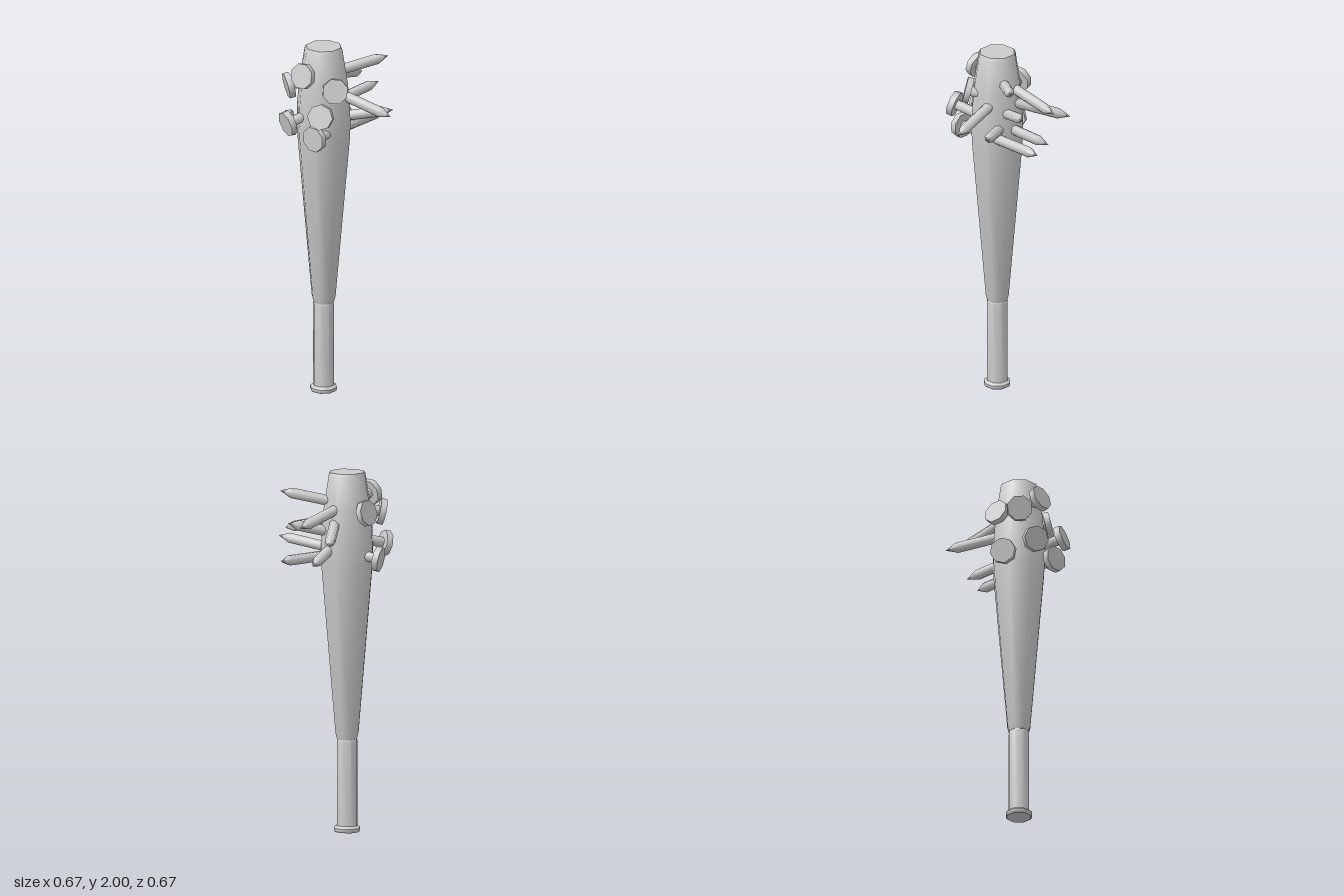
import * as THREE from 'three';
import { toCreasedNormals } from 'three/addons/utils/BufferGeometryUtils.js';

const SIDES = 8;
const material = new THREE.MeshStandardMaterial({ color: 0xcccccc });

// Eight-sided turned solid: soft round the axis, sharp at caps and shoulders
function turned(name, profile) {
  const points = profile.map(([r, y]) => new THREE.Vector2(r, y));
  const mesh = new THREE.Mesh(toCreasedNormals(new THREE.LatheGeometry(points, SIDES), 0.82), material);
  mesh.name = name;
  return mesh;
}

// A nail driven through the bat, from the centre of its head to its point
function makeNail(head, tip) {
  const start = new THREE.Vector3(...head);
  const axis = new THREE.Vector3(...tip).sub(start);
  const length = axis.length();
  const nail = new THREE.Group();
  nail.name = 'nail';
  nail.add(
    turned('nailHead', [[0, -0.017], [0.072, -0.017], [0.072, 0.017], [0, 0.017]]),
    turned('nailShaft', [[0.029, 0], [0.029, length - 0.065], [0, length]]),
  );
  nail.position.copy(start);
  nail.quaternion.setFromUnitVectors(new THREE.Vector3(0, 1, 0), axis.normalize());
  return nail;
}

export function createModel() {
  const model = new THREE.Group();
  model.name = 'nailedBat';

  // Bat: knob, grip and tapered barrel on one axis
  const bat = new THREE.Group();
  bat.name = 'bat';
  bat.position.x = -0.085;
  bat.add(
    turned('knob', [[0, 0], [0.07, 0], [0.077, 0.01], [0.077, 0.022], [0.06, 0.035]]),
    turned('grip', [[0.06, 0.03], [0.06, 0.505], [0.055, 0.52]]),
    turned('barrel', [
      [0, 0.515], [0.058, 0.515], [0.068, 0.55], [0.15, 1.48], [0.153, 1.56],
      [0.15, 1.67], [0.138, 1.8], [0.108, 1.985], [0.1, 2], [0, 2],
    ]),
  );
  model.add(bat);

  // Nails: [head centre, point]
  const nails = [
    [[-0.105, 1.79, 0.165], [0.15, 1.65, -0.335]],
    [[-0.14, 1.79, -0.155], [0.15, 1.65, 0.335]],
    [[-0.245, 1.87, 0.055], [0.265, 1.735, -0.19]],
    [[-0.26, 1.78, -0.075], [0.28, 1.905, 0.075]],
    [[-0.215, 1.67, 0.2], [0.19, 1.52, -0.19]],
    [[-0.308, 1.59, 0], [0.265, 1.735, -0.005]],
    [[-0.21, 1.53, -0.15], [0.24, 1.635, 0.2]],
    [[-0.225, 1.53, 0.15], [0.33, 1.535, -0.065]],
  ];
  for (const [head, tip] of nails) model.add(makeNail(head, tip));
  return model;
}
